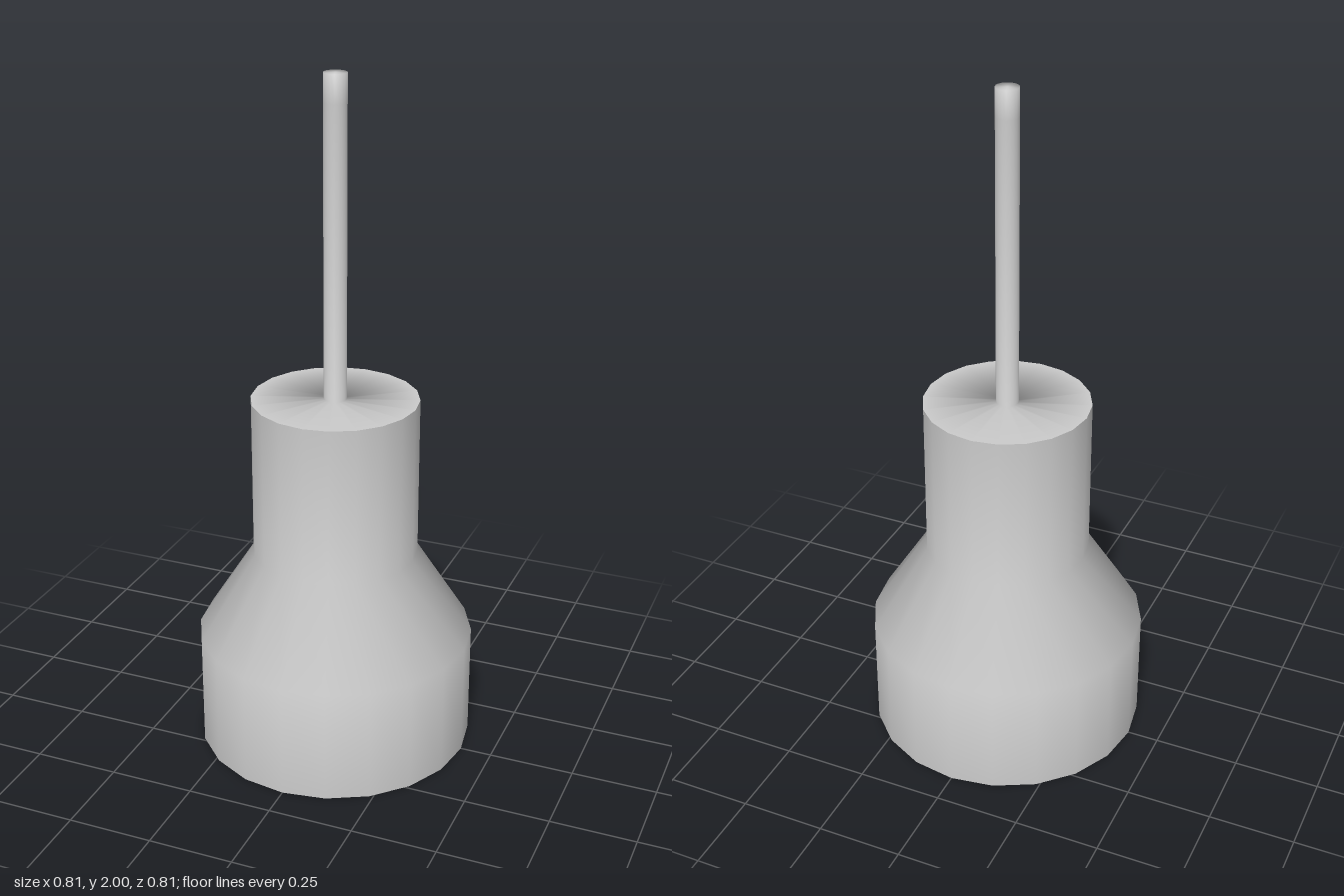
import * as THREE from 'three';

const SIDES = 20;
const material = new THREE.MeshStandardMaterial({ color: 0xcccccc });

// Revolve a profile of [radius, height] points; normals are smooth along it.
function revolve(name, profile) {
  const points = profile.map(([r, y]) => new THREE.Vector2(r, y));
  const mesh = new THREE.Mesh(new THREE.LatheGeometry(points, SIDES), material);
  mesh.name = name;
  return mesh;
}

export function createModel() {
  const lamp = new THREE.Group();
  lamp.name = 'pendantLamp';

  // Outer shade: straight skirt, sloping shoulder, narrow neck
  lamp.add(revolve('shadeOuter', [[0.407, 0], [0.407, 0.34], [0.242, 0.6], [0.242, 1.075]]));

  // Flat cap flowing into the hanging cord
  lamp.add(revolve('capAndCord', [[0.242, 1.075], [0.033, 1.075], [0.033, 1.92], [0.033, 2], [0, 2]]));

  // Hollow inside of the shade, ending in the broad bottom lip
  lamp.add(revolve('shadeInner', [[0, 0.6], [0.18, 0.6], [0.285, 0.34], [0.285, 0.02], [0.407, 0]]));

  // Bulb: a plain cylinder recessed in the opening
  const bulb = new THREE.Mesh(new THREE.CylinderGeometry(0.155, 0.155, 0.525, SIDES), material);
  bulb.name = 'bulb';
  bulb.position.y = 0.075 + 0.525 / 2;
  lamp.add(bulb);

  return lamp;
}
